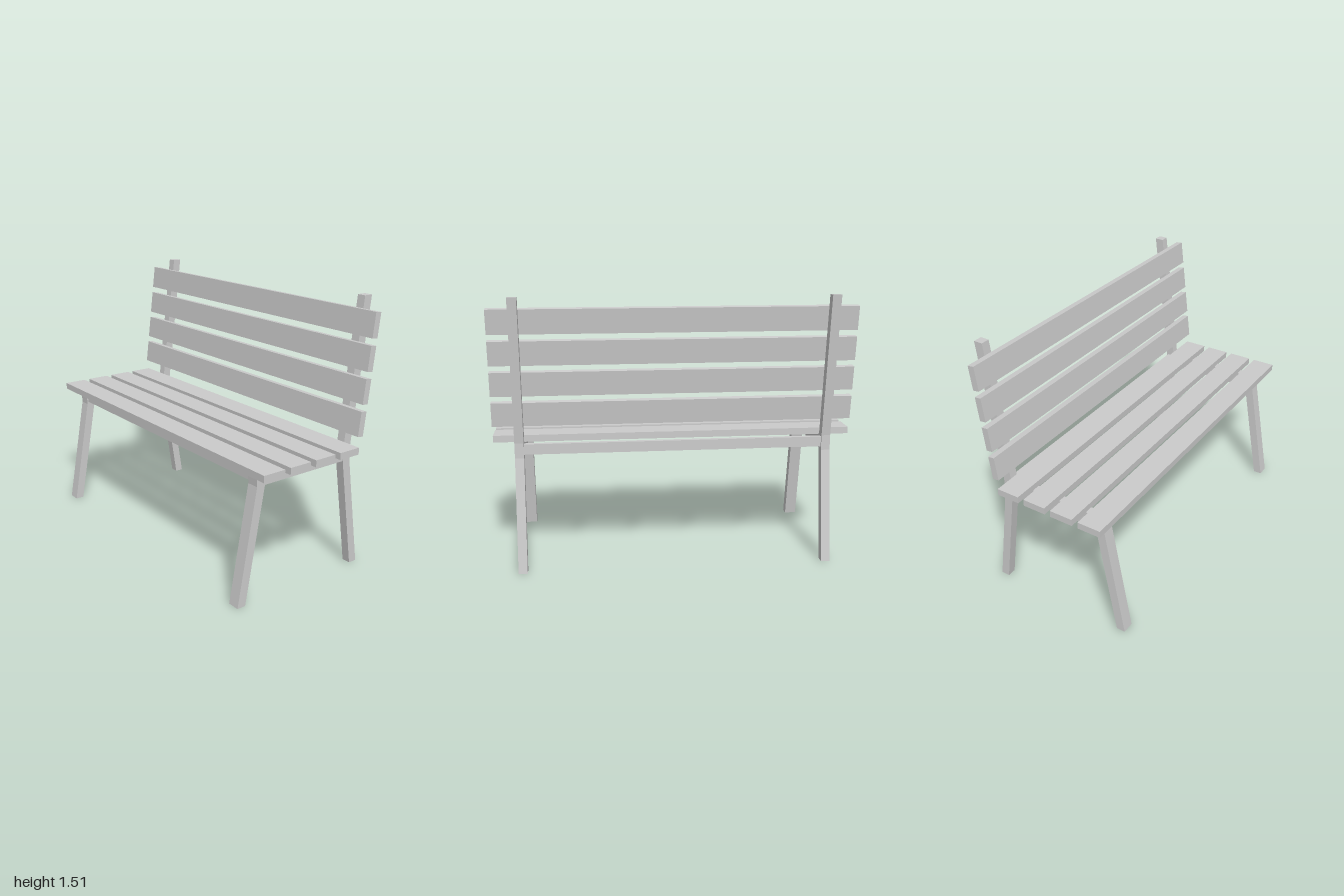
import * as THREE from 'three';

const material = new THREE.MeshStandardMaterial({ color: 0xcccccc, flatShading: true });

// Box given by its centre and size
function box(name, center, size) {
  const mesh = new THREE.Mesh(new THREE.BoxGeometry(...size), material);
  mesh.position.set(...center);
  mesh.name = name;
  return mesh;
}

// Bent bar: an x-y outline given thickness along z
function bar(name, points, width, z) {
  const shape = new THREE.Shape(points.map(([x, y]) => new THREE.Vector2(x, y)));
  const geometry = new THREE.ExtrudeGeometry(shape, { depth: width, bevelEnabled: false });
  geometry.translate(0, 0, z - width / 2);
  const mesh = new THREE.Mesh(geometry, material);
  mesh.name = name;
  return mesh;
}

export function createModel() {
  const bench = new THREE.Group();
  bench.name = 'bench';
  const length = 2, frameZ = 0.855;

  // Two end frames: front leg, back leg running up into the post, seat bearer
  for (const side of [1, -1]) {
    const z = side * frameZ;
    const frame = new THREE.Group();
    frame.name = side > 0 ? 'leftFrame' : 'rightFrame';
    frame.add(
      bar('frontLeg', [[-0.435, 0], [-0.385, 0], [-0.272, 0.635], [-0.275, 0.71],
        [-0.325, 0.71], [-0.322, 0.64]], 0.068, z),
      bar('backPost', [[0.38, 0], [0.43, 0], [0.333, 0.635], [0.333, 0.72], [0.43, 1.515],
        [0.38, 1.515], [0.283, 0.72], [0.283, 0.635]], 0.05, z),
      box('seatBearer', [0.006, 0.676, z], [0.565, 0.082, 0.048]),
    );
    bench.add(frame);
  }

  // Long rails joining the two frames
  bench.add(
    box('frontRail', [-0.298, 0.682, 0], [0.03, 0.058, 2 * frameZ - 0.05]),
    box('backRail', [0.311, 0.682, 0], [0.026, 0.058, 2 * frameZ - 0.05]),
  );

  // Seat slats, and back slats leaning with the posts
  const lean = Math.atan2(0.097, 0.795);
  for (let i = 0; i < 4; i++) {
    bench.add(box('seatSlat', [-0.308 + i * 0.1705, 0.731, 0], [0.134, 0.038, length]));

    const y = 0.875 + i * 0.17;
    const slat = box('backSlat', [0.283 + (y - 0.72) * Math.tan(lean) - 0.0185, y, 0], [0.037, 0.134, length]);
    slat.rotation.z = -lean;
    bench.add(slat);
  }
  return bench;
}
